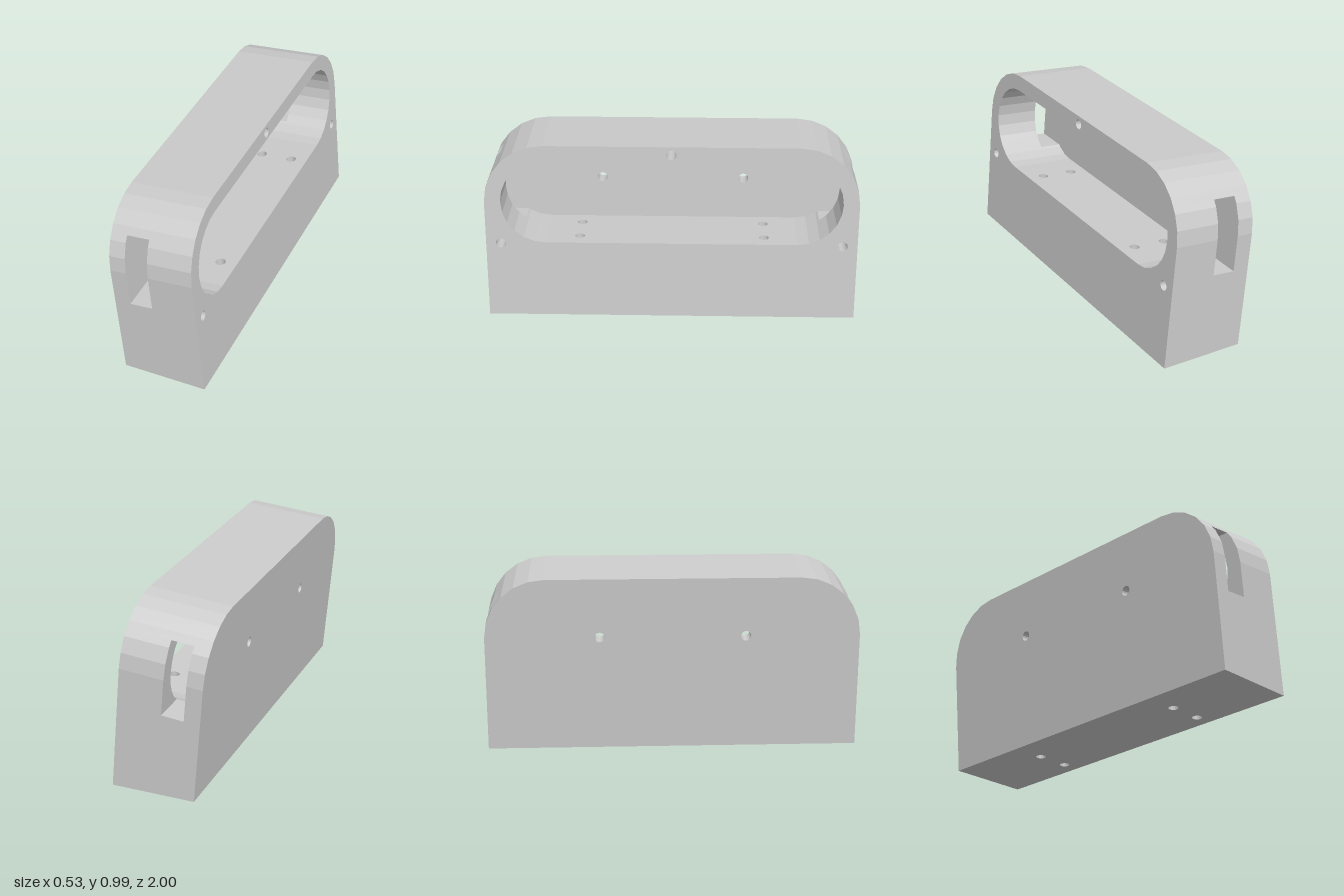
import * as THREE from 'three';

const TILT = THREE.MathUtils.degToRad(5);
const DEPTH = 0.45, HEIGHT = 0.994;           // body, in its own tilted frame
const CZ = 0.6785, CV = 0.6725;               // centre of the rounded corners
const R_OUT = 0.3215, R_IN = 0.2355;          // outer corner and pocket radii
const FLOOR = -0.363;                         // pocket floor
const SLOT = -0.241, LO = 0.478, HI = 0.864;  // end slots: front side, bottom, top
const HOLE = 0.027;

const body = new THREE.MeshStandardMaterial({ color: 0xcccccc, flatShading: true });
const bore = new THREE.MeshStandardMaterial({ color: 0xcccccc, flatShading: true, side: THREE.DoubleSide });

// The foot is cut level although the body leans back
const footAt = (d) => -d * Math.tan(TILT);
const V2 = (x, y) => new THREE.Vector2(x, y);
const mirror = (pts) => pts.map((p) => V2(-p.x, p.y)).reverse();
const circle = (x, y) => Array.from({ length: 16 }, (_, i) =>
  V2(x + HOLE * Math.cos(i * Math.PI / 8), y + HOLE * Math.sin(i * Math.PI / 8)));

function arc(r, from, to, steps) {
  return Array.from({ length: steps + 1 }, (_, i) => {
    const a = from + (to - from) * i / steps;
    return V2(CZ + r * Math.cos(a), CV + r * Math.sin(a));
  });
}

// Part of a rising outline between two heights
function clip(pts, lo, hi) {
  const out = [];
  for (let i = 0; i < pts.length; i++) {
    const p = pts[i], q = pts[i + 1];
    if (p.y >= lo && p.y <= hi) out.push(p);
    if (!q) continue;
    for (const v of [lo, hi]) {
      if (p.y < v && v < q.y) out.push(p.clone().lerp(q, (v - p.y) / (q.y - p.y)));
    }
  }
  return out;
}

// Wall swept along the depth axis over an outline of (z, height) points
function wall(pts, d0, d1) {
  const pos = [], idx = [];
  pts.forEach((p, i) => {
    for (const d of [d0, d1]) pos.push(d, p.y === 0 ? footAt(d) : p.y, p.x);
    if (i) {
      const a = 2 * i - 2;
      idx.push(a, a + 1, a + 3, a, a + 3, a + 2);
    }
  });
  const g = new THREE.BufferGeometry();
  g.setAttribute('position', new THREE.Float32BufferAttribute(pos, 3));
  g.setIndex(idx);
  g.computeVertexNormals();
  return g;
}

// Flat face with holes, placed by a rule (a, b) -> [depth, height, z]
function face(pts, holes, place) {
  const shape = new THREE.Shape(pts);
  shape.holes = holes.map((h) => new THREE.Path(h));
  const g = new THREE.ShapeGeometry(shape);
  const p = g.attributes.position;
  for (let i = 0; i < p.count; i++) p.setXYZ(i, ...place(p.getX(i), p.getY(i)));
  g.computeVertexNormals();
  return g;
}
const facingFront = (d) => (a, b) => [d, b, -a];
const facingBack = (d) => (a, b) => [d, b === 0 ? footAt(d) : b, a];
const facingUp = (v) => (a, b) => [b, v, a];
const rect = (x0, x1, y0, y1) => [V2(x0, y0), V2(x1, y0), V2(x1, y1), V2(x0, y1)];

export function createModel() {
  const model = new THREE.Group();
  const housing = new THREE.Group();
  housing.name = 'housing';
  housing.rotation.z = TILT;
  housing.position.x = 0.2675;
  model.add(housing);
  const add = (name, geometry, material = body) => {
    const m = new THREE.Mesh(geometry, material);
    m.name = name;
    housing.add(m);
    return m;
  };

  // Outlines of the +z half, rising
  const outer = [V2(1, 0), ...arc(R_OUT, 0, Math.PI / 2, 6)];
  const inner = arc(R_IN, -Math.PI / 2, Math.PI / 2, 12);
  const profile = [...outer, ...mirror(outer)];
  const stadium = [...inner, ...mirror(inner)];

  // Hole positions
  const screws = [[0, 0.949], [0.92, 0.431], [-0.92, 0.431]];
  const backHoles = [[0.39, CV], [-0.39, CV]];
  const footHoles = [];
  for (const d of [-0.091, -0.272]) for (const z of [-0.5, 0.5]) footHoles.push([d, z]);
  const rings = (list) => list.map(([a, b]) => circle(a, b));

  // Large flat faces
  add('frontFace', face(profile, [stadium, ...rings(screws)], facingFront(0)));
  add('backFace', face(profile, rings(backHoles), facingBack(-DEPTH)));
  add('pocketBack', face(stadium, rings(backHoles), facingFront(FLOOR)));
  add('foot', face(rect(-DEPTH, 0, -1, 1), rings(footHoles), (a, b) => [a, footAt(a), b]));
  add('top', wall([V2(CZ, HEIGHT), V2(-CZ, HEIGHT)], -DEPTH, 0));

  // Pocket ledge and ceiling
  const low = CV - R_IN, high = CV + R_IN;
  add('pocketLedge', face(rect(-CZ, CZ, FLOOR, 0),
    footHoles.map(([d, z]) => circle(z, d)), facingUp(low)));
  add('pocketCeiling', wall([V2(-CZ, high), V2(CZ, high)], FLOOR, 0));

  // Rounded ends, each broken by a slot
  for (const side of [1, -1]) {
    const flip = (pts) => (side > 0 ? pts : mirror(pts));
    const out = (lo, hi) => flip(clip(outer, lo, hi));
    const inn = (lo, hi) => flip(clip(inner, lo, hi)).reverse();
    for (const [lo, hi] of [[-1, LO], [HI, 2]]) {
      add('endWall', wall(out(lo, hi), -DEPTH, 0));
      add('pocketEnd', wall(inn(lo, hi), FLOOR, 0));
    }
    add('endWallBehindSlot', wall(out(LO, HI), -DEPTH, FLOOR));
    add('endWallBeforeSlot', wall(out(LO, HI), SLOT, 0));
    add('pocketEndBeforeSlot', wall(inn(LO, HI), SLOT, 0));

    // Slot sides, sill and lintel
    const o = clip(outer, LO, HI), n = clip(inner, LO, HI);
    const band = [...o, ...n.slice().reverse()];
    add('slotFrontSide', face(flip(band), [], facingBack(SLOT)));
    add('slotBackSide', face(flip(band).map((p) => V2(-p.x, p.y)), [], facingFront(FLOOR)));
    const span = (i, j) => [side * n[i].x, side * o[j].x].sort((a, b) => a - b);
    add('slotSill', face(rect(...span(0, 0), FLOOR, SLOT), [], facingUp(LO)));
    add('slotLintel', face(rect(FLOOR, SLOT, ...span(n.length - 1, o.length - 1)), [],
      (a, b) => [a, HI, b]));
  }

  // Bores running along the depth: blind screw holes and through holes in the back
  const depthBore = (name, z, v, d0, d1) => {
    const g = new THREE.CylinderGeometry(HOLE, HOLE, d1 - d0, 16, 1, true);
    g.rotateZ(Math.PI / 2).translate((d0 + d1) / 2, v, z);
    add(name, g, bore);
  };
  const blind = -0.27;
  for (const [z, v] of screws) {
    depthBore('screwHole', z, v, blind, 0);
    add('screwHoleEnd', face(circle(z, v), [], (a, b) => [blind, b, a]), bore);
  }
  for (const [z, v] of backHoles) depthBore('backHole', z, v, -DEPTH, FLOOR);

  // Bores from the level foot up to the pocket ledge
  for (const [d, z] of footHoles) {
    const g = new THREE.CylinderGeometry(HOLE, HOLE, low, 16, 1, true);
    g.translate(d, low / 2, z);
    const p = g.attributes.position;
    for (let i = 0; i < p.count; i++) if (p.getY(i) < 0.1) p.setY(i, footAt(p.getX(i)));
    add('footHole', g, bore);
  }
  return model;
}
